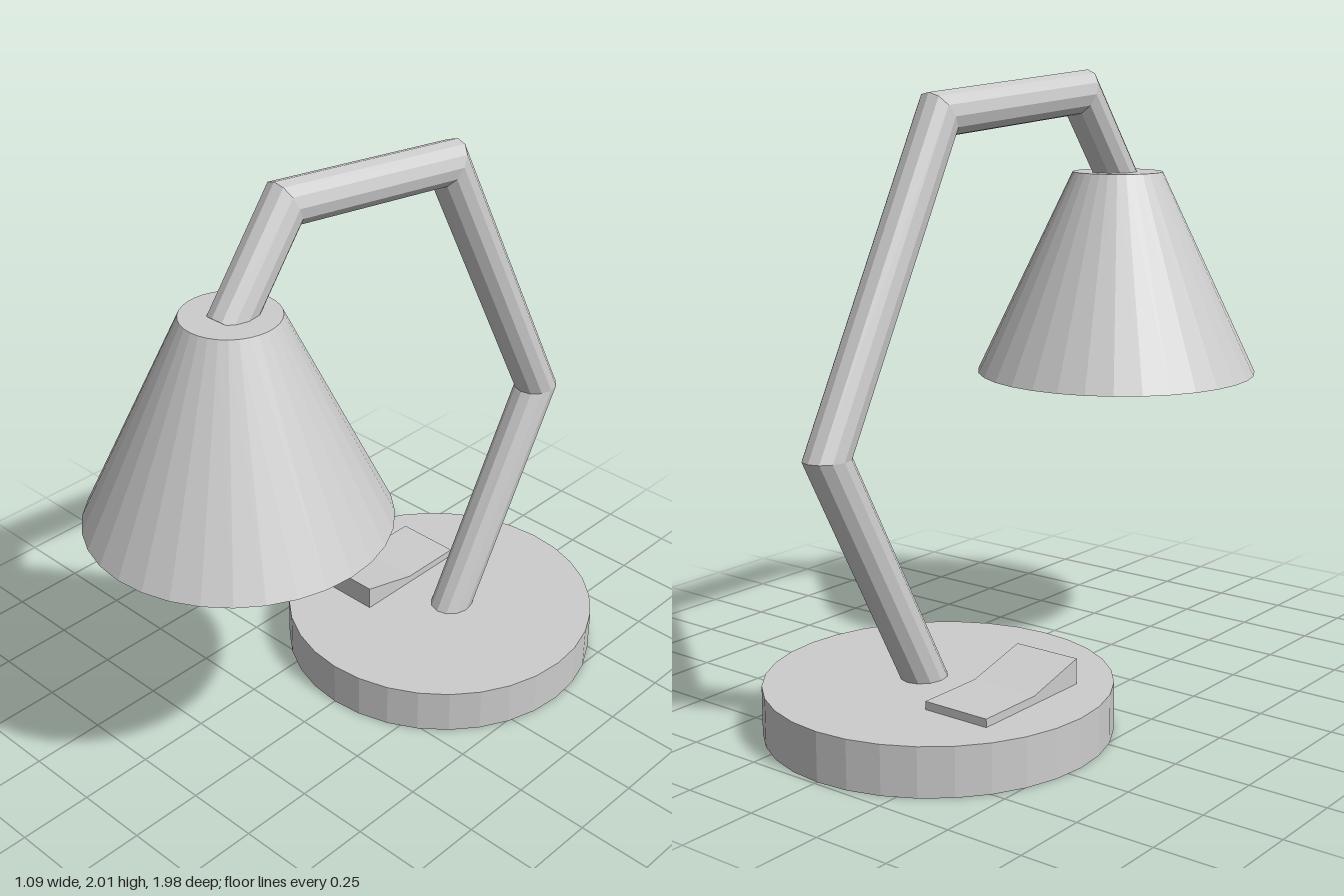
import * as THREE from 'three';

// Faceted normals for every face
function faceted(geometry) {
  const g = geometry.index ? geometry.toNonIndexed() : geometry;
  g.computeVertexNormals();
  return g;
}

// Straight pipe segments joined with mitred elbows
function mitredPipe(points, radius, sides) {
  const dirs = points.slice(1).map((p, i) => p.clone().sub(points[i]).normalize());
  const u = new THREE.Vector3(1, 0, 0).addScaledVector(dirs[0], -dirs[0].x).normalize();
  const v = dirs[0].clone().cross(u);
  let ring = [];
  for (let i = 0; i < sides; i++) {
    const a = (i / sides) * Math.PI * 2;
    ring.push(points[0].clone()
      .addScaledVector(u, radius * Math.cos(a)).addScaledVector(v, radius * Math.sin(a)));
  }
  const rings = [ring];
  dirs.forEach((d, k) => {
    const p = points[k + 1];
    const n = d.clone().add(dirs[k + 1] || d).normalize();
    ring = ring.map((q) => q.clone().addScaledVector(d, p.clone().sub(q).dot(n) / d.dot(n)));
    rings.push(ring);
  });
  const pos = [];
  const tri = (...corners) => corners.forEach((c) => pos.push(c.x, c.y, c.z));
  const last = rings.length - 1;
  for (let i = 0; i < sides; i++) {
    const j = (i + 1) % sides;
    for (let k = 0; k < last; k++) {
      tri(rings[k][i], rings[k][j], rings[k + 1][j]);
      tri(rings[k][i], rings[k + 1][j], rings[k + 1][i]);
    }
    tri(points[0], rings[0][j], rings[0][i]);
    tri(points[last], rings[last][i], rings[last][j]);
  }
  const g = new THREE.BufferGeometry();
  g.setAttribute('position', new THREE.Float32BufferAttribute(pos, 3));
  return g;
}

export function createModel() {
  const lamp = new THREE.Group();
  lamp.name = 'deskLamp';
  const grey = new THREE.MeshStandardMaterial({ color: 0xcccccc });
  grey.name = 'grey';

  const add = (name, geometry, x = 0, y = 0, z = 0) => {
    const mesh = new THREE.Mesh(faceted(geometry), grey);
    mesh.name = name;
    mesh.position.set(x, y, z);
    lamp.add(mesh);
  };
  const lathe = (profile, sides) =>
    new THREE.LatheGeometry(profile.map(([r, y]) => new THREE.Vector2(r, y)), sides);

  // Round base
  add('base', new THREE.CylinderGeometry(0.545, 0.545, 0.155, 32), 0, 0.0775, -0.445);

  // Rocker switch: raised front half, flat rear half
  const rocker = new THREE.Shape([
    [-0.67, 0.15], [-0.225, 0.15], [-0.225, 0.237], [-0.44, 0.181], [-0.67, 0.181],
  ].map(([z, y]) => new THREE.Vector2(z, y)));
  const rockerGeometry = new THREE.ExtrudeGeometry(rocker, { depth: 0.23, bevelEnabled: false });
  add('switch', rockerGeometry.rotateY(-Math.PI / 2), -0.14);

  // Bent arm from the base to the shade
  const path = [
    [0.048, 0.11, -0.433], [0.078, 0.915, -0.838], [0.055, 1.884, -0.355],
    [-0.005, 1.937, 0.283], [0, 1.635, 0.52],
  ].map((p) => new THREE.Vector3(...p));
  add('arm', mitredPipe(path, 0.07, 12));

  // Thick-walled conical shade, closed at the top
  add('shade', lathe([
    [0, 1.6], [0.115, 1.6], [0.4, 0.99], [0.475, 0.99], [0.152, 1.67], [0, 1.67],
  ], 32), 0, 0, 0.51);

  // Four-sided bulb inside the shade
  add('bulb', lathe([
    [0, 1.09], [0.067, 1.09], [0.13, 1.21], [0.13, 1.34], [0.07, 1.46], [0.07, 1.61],
  ], 4).rotateY(Math.PI / 4), 0, 0, 0.51);

  return lamp;
}
